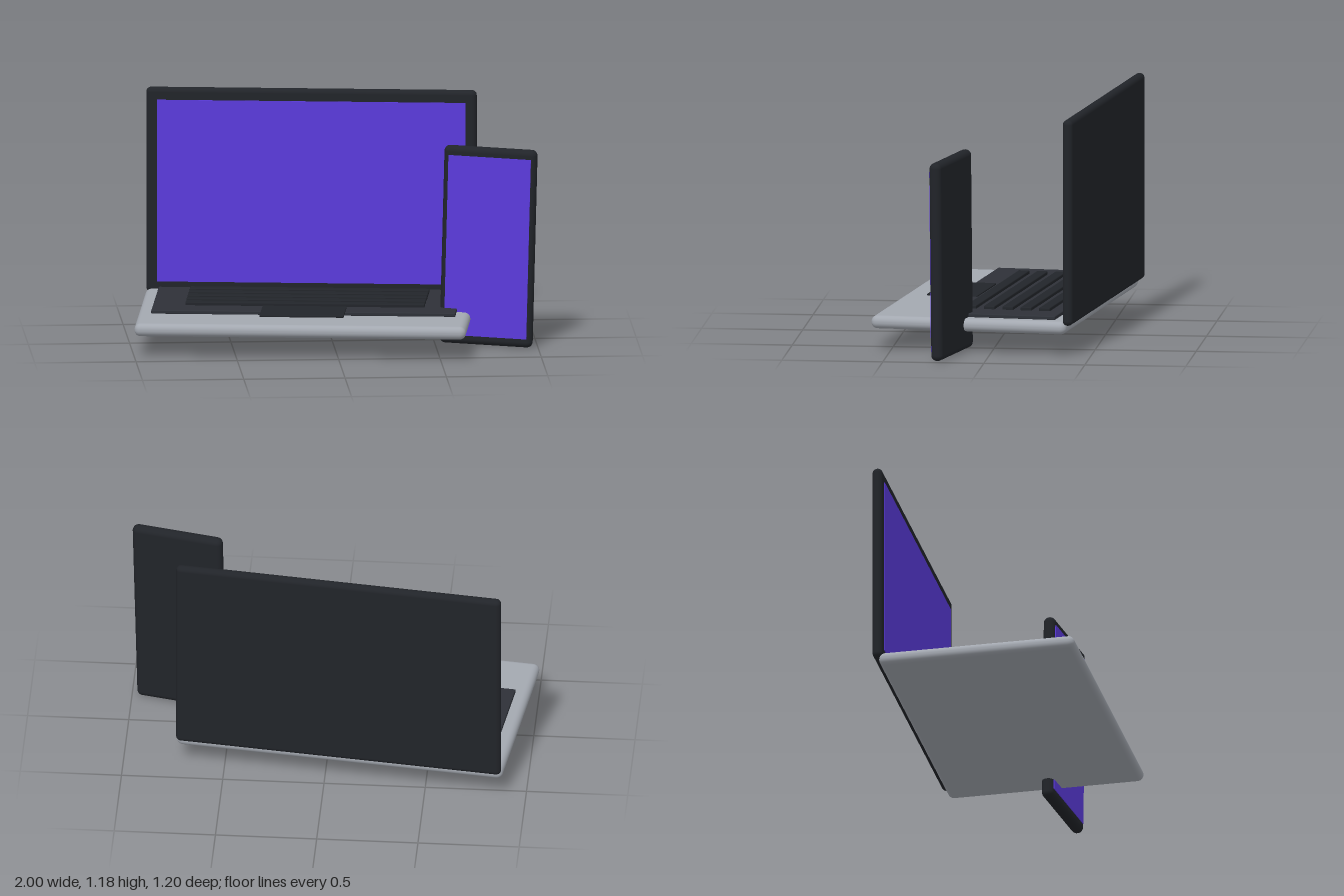
import * as THREE from 'three';
import { RoundedBoxGeometry } from 'three/addons/geometries/RoundedBoxGeometry.js';

const mat = (color) => new THREE.MeshStandardMaterial({ color });
const silver = mat(0xa3a8b0);
const shell = mat(0x212429);
const deckGrey = mat(0x2e3138);
const keyDark = mat(0x22252a);
const glow = mat(0x5b3bdc);

function add(parent, name, geometry, material, x, y, z) {
  const mesh = new THREE.Mesh(geometry, material);
  mesh.name = name;
  mesh.position.set(x, y, z);
  parent.add(mesh);
  return mesh;
}
const rounded = (w, h, d, r) => new RoundedBoxGeometry(w, h, d, 4, r);
const box = (w, h, d) => new THREE.BoxGeometry(w, h, d);

function createLaptop() {
  const laptop = new THREE.Group();
  laptop.name = 'laptop';

  // Base with keyboard deck and trackpad
  add(laptop, 'base', rounded(1.635, 0.065, 0.985, 0.031), silver, 0, 0.1375, 0);
  add(laptop, 'keyboardDeck', rounded(1.5, 0.02, 0.63, 0.005), deckGrey, 0, 0.178, -0.11);
  add(laptop, 'trackpad', rounded(0.415, 0.01, 0.255, 0.003), keyDark, 0, 0.19, 0.217);

  // Five long key rows
  for (let i = 0; i < 5; i++) {
    add(laptop, 'keyRow', rounded(1.18, 0.02, 0.055, 0.005), keyDark, 0, 0.194, -0.335 + i * 0.093);
  }

  // Upright lid with its display
  add(laptop, 'lid', rounded(1.63, 1.025, 0.05, 0.024), shell, 0, 0.6625, -0.5);
  add(laptop, 'lidDisplay', box(1.52, 0.91, 0.008), glow, 0, 0.66, -0.475);

  laptop.position.set(-0.132, 0, 0.013);
  laptop.rotation.y = -0.122;
  return laptop;
}

function createPhone() {
  const phone = new THREE.Group();
  phone.name = 'phone';
  add(phone, 'phoneBody', rounded(0.466, 0.99, 0.06, 0.029), shell, 0, 0, 0);
  add(phone, 'phoneDisplay', box(0.414, 0.9, 0.008), glow, 0, 0, 0.029);

  // Turned to the side and tipped slightly
  phone.position.set(0.76, 0.5, 0.186);
  phone.rotation.set(0, -0.26, -0.026);
  return phone;
}

export function createModel() {
  const model = new THREE.Group();
  model.name = 'laptopAndPhone';
  model.add(createLaptop(), createPhone());
  return model;
}
